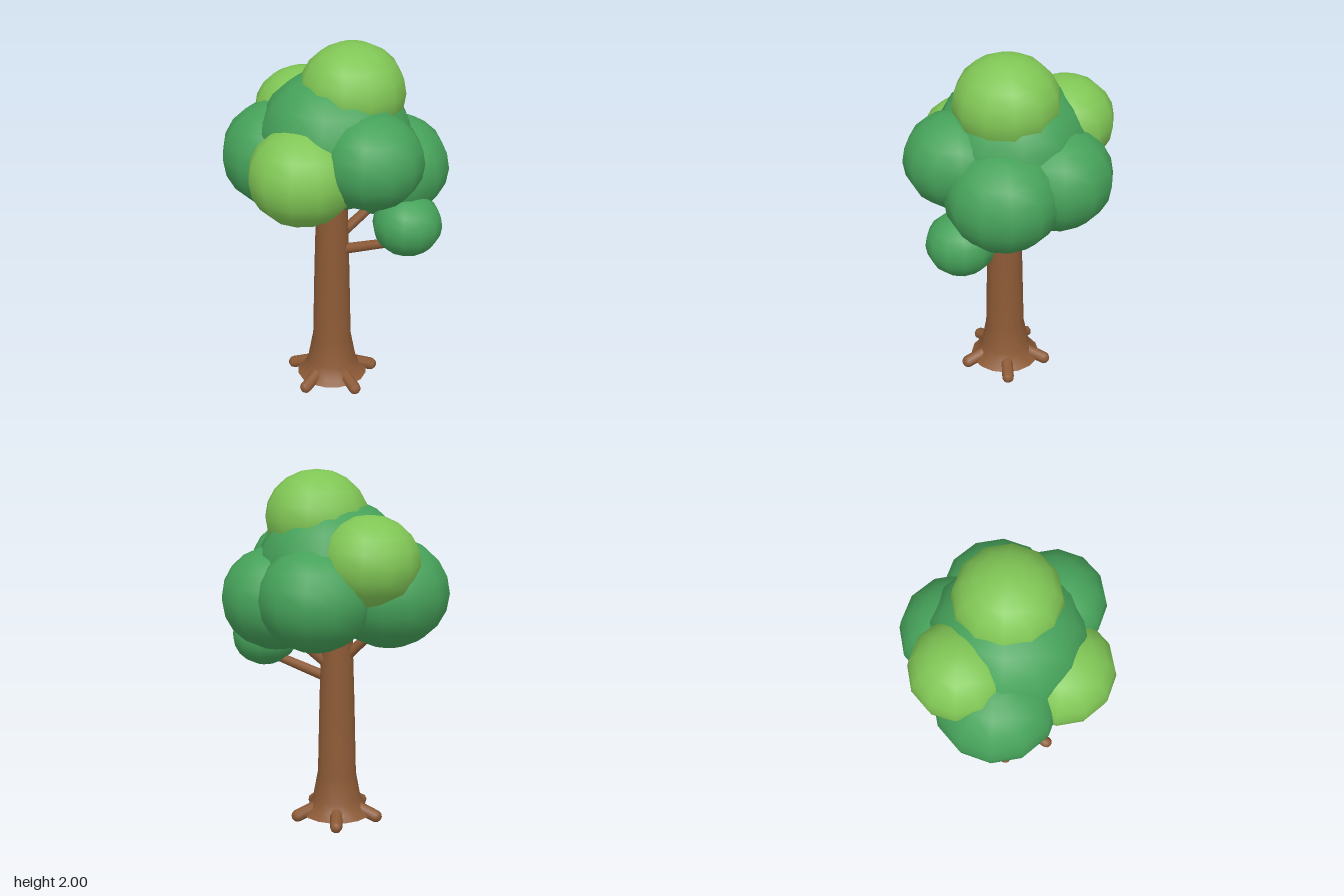
import * as THREE from 'three';

const leafGreen = new THREE.MeshStandardMaterial({ color: 0x46a25a });
leafGreen.name = 'leafGreen';
const lightGreen = new THREE.MeshStandardMaterial({ color: 0x80c655 });
lightGreen.name = 'lightGreen';
const bark = new THREE.MeshStandardMaterial({ color: 0x8c5a36 });
bark.name = 'bark';

const TRUNK_Z = 0.045;
const UP = new THREE.Vector3(0, 1, 0);

function add(group, name, geometry, material) {
  const mesh = new THREE.Mesh(geometry, material);
  mesh.name = name;
  group.add(mesh);
  return mesh;
}

// Places a geometry that runs along y between two points
function span(mesh, a, b) {
  mesh.position.copy(a).add(b).multiplyScalar(0.5);
  mesh.quaternion.setFromUnitVectors(UP, b.clone().sub(a).normalize());
}

export function createModel() {
  const tree = new THREE.Group();
  tree.name = 'tree';

  // Trunk with flared foot
  const profile = [
    [0.2, 0.04], [0.165, 0.07], [0.138, 0.13], [0.11, 0.28],
    [0.1, 0.7], [0.088, 1.09], [0.08, 1.3],
  ].map(([r, y]) => new THREE.Vector2(r, y));
  add(tree, 'trunk', new THREE.LatheGeometry(profile, 16), bark).position.z = TRUNK_Z;

  // Flat underside of the trunk
  const base = add(tree, 'trunkBase', new THREE.CircleGeometry(0.2, 16), bark);
  base.rotation.x = Math.PI / 2;
  base.position.set(0, 0.04, TRUNK_Z);

  // Five stubby roots, evenly spaced
  for (let i = 0; i < 5; i++) {
    const angle = THREE.MathUtils.degToRad(46 + i * 72);
    const at = (r, y) => new THREE.Vector3(Math.cos(angle) * r, y, TRUNK_Z + Math.sin(angle) * r);
    const a = at(0.11, 0.085), b = at(0.235, 0.036);
    span(add(tree, 'root', new THREE.CapsuleGeometry(0.035, a.distanceTo(b), 4, 8), bark), a, b);
  }

  // Branches reaching into the crown: start, end, radius
  const branches = [
    [[0.07, 0.84, 0.055], [0.42, 0.955, 0.12], 0.03],
    [[0.03, 0.9, 0.03], [0.3, 1.16, -0.08], 0.03],
    [[-0.03, 0.94, 0.04], [-0.28, 1.19, 0.0], 0.03],
    [[0, 0.98, 0.02], [0.03, 1.25, -0.2], 0.03],
  ];
  for (const [start, end, r] of branches) {
    const a = new THREE.Vector3(...start), b = new THREE.Vector3(...end);
    span(add(tree, 'branch', new THREE.CylinderGeometry(r * 0.8, r, a.distanceTo(b), 8), bark), a, b);
  }

  // Leaf clumps, slightly flattened: name, x, y, z, radius, material
  const clumps = [
    ['coreLeaves', 0.01, 1.47, 0, 0.42, leafGreen],
    ['topLeaves', 0.1, 1.74, -0.01, 0.285, lightGreen],
    ['rightLeaves', -0.295, 1.35, -0.035, 0.33, leafGreen],
    ['leftLeaves', 0.31, 1.31, -0.075, 0.31, leafGreen],
    ['frontLeaves', -0.11, 1.36, 0.285, 0.29, lightGreen],
    ['frontLeftLeaves', 0.24, 1.445, 0.22, 0.28, leafGreen],
    ['backLeaves', 0.065, 1.345, -0.27, 0.31, leafGreen],
    ['backRightLeaves', -0.215, 1.54, -0.22, 0.27, lightGreen],
    ['branchLeaves', 0.425, 1.055, 0.12, 0.188, leafGreen],
  ];
  for (const [name, x, y, z, r, material] of clumps) {
    const clump = add(tree, name, new THREE.SphereGeometry(r, 12, 10), material);
    clump.position.set(x, y, z);
    clump.scale.y = 0.915;
  }

  return tree;
}
